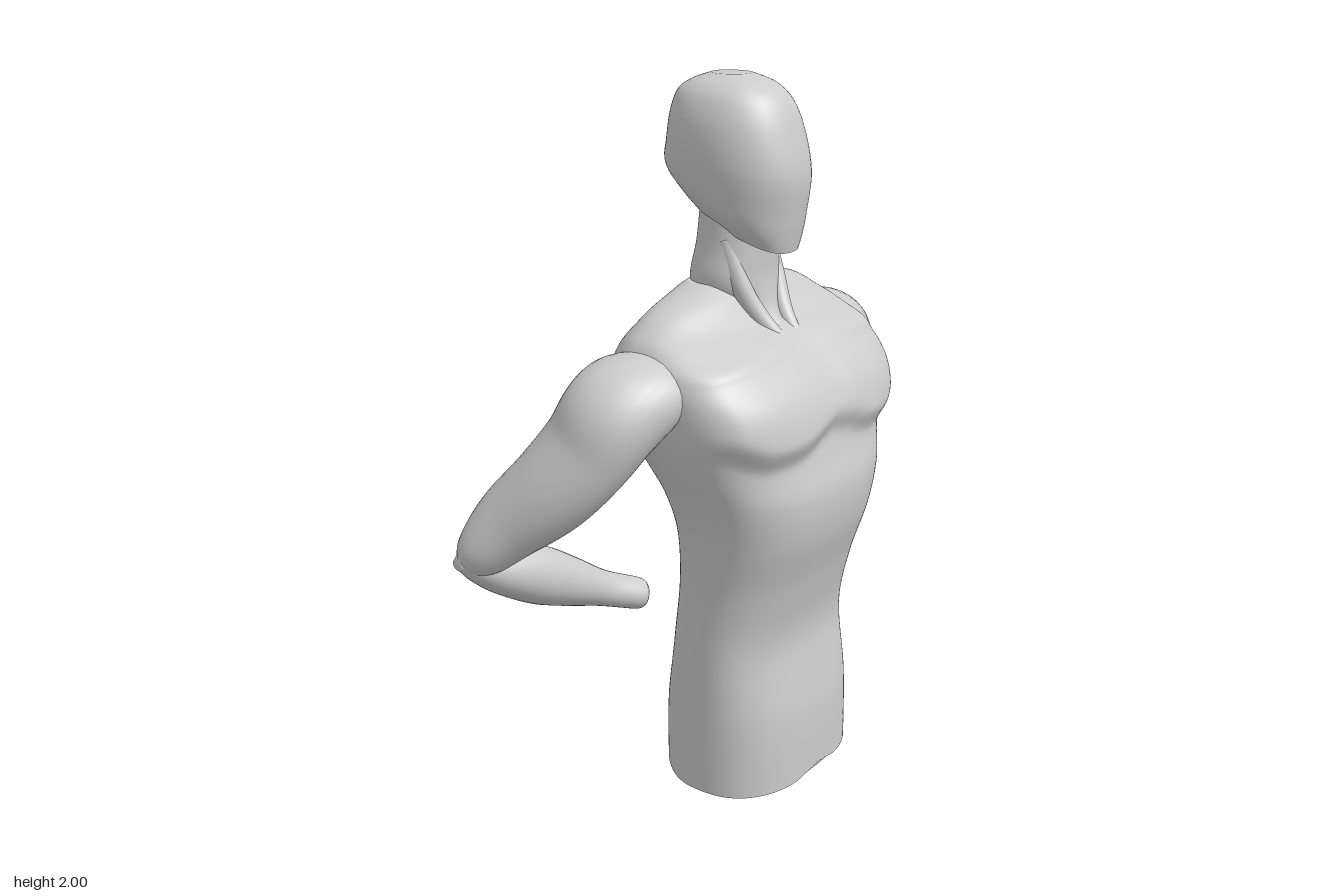
import * as THREE from 'three';
import { toCreasedNormals } from 'three/addons/utils/BufferGeometryUtils.js';

const material = new THREE.MeshStandardMaterial({ color: 0xcccccc, side: THREE.DoubleSide });
const bell = (d, r) => Math.exp(-(d * d) / (r * r));

// Surface closed around v; caps fill the first and last ring if wanted
function surface(rows, cols, point, { capStart = false, capEnd = false, flip = false } = {}) {
  const pos = [], index = [];
  const tri = (a, b, c) => (flip ? index.push(a, c, b) : index.push(a, b, c));
  for (let i = 0; i <= rows; i++)
    for (let j = 0; j < cols; j++) pos.push(...point(i / rows, (j / cols) * Math.PI * 2));
  for (let i = 0; i < rows; i++)
    for (let j = 0; j < cols; j++) {
      const k = (j + 1) % cols, a = i * cols + j, b = i * cols + k;
      tri(a, a + cols, b);
      tri(b, a + cols, b + cols);
    }
  const cap = (row, end) => {
    const c = [0, 0, 0], id = pos.length / 3;
    for (let j = 0; j < cols; j++)
      for (let k = 0; k < 3; k++) c[k] += pos[(row * cols + j) * 3 + k] / cols;
    pos.push(...c);
    for (let j = 0; j < cols; j++) {
      const a = row * cols + j, b = row * cols + ((j + 1) % cols);
      end ? tri(a, id, b) : tri(a, b, id);
    }
  };
  if (capStart) cap(0, false);
  if (capEnd) cap(rows, true);
  const g = new THREE.BufferGeometry();
  g.setAttribute('position', new THREE.Float32BufferAttribute(pos, 3));
  g.setIndex(index);
  g.computeVertexNormals();
  return g;
}

// Smooth interpolation through rows of numbers
function sample(rows, u) {
  const f = u * (rows.length - 1), i = Math.min(Math.floor(f), rows.length - 2), t = f - i;
  const at = (k) => rows[Math.max(0, Math.min(rows.length - 1, k))];
  return rows[0].map((_, k) => {
    const [a, b, c, d] = [at(i - 1)[k], at(i)[k], at(i + 1)[k], at(i + 2)[k]];
    return b + 0.5 * t * (c - a + t * (2 * a - 5 * b + 4 * c - d + t * (3 * (b - c) + d - a)));
  });
}

// Rings: [y at front, y at back, half width, front z, back z, squareness]
function loft(rings, rows, cols, options, shape = (x, y, z) => [x, y, z]) {
  return surface(rows, cols, (u, v) => {
    const [yF, yB, w, zF, zB, n] = sample(rings, u);
    const c = Math.cos(v), s = Math.sin(v);
    const q = (t) => Math.sign(t) * Math.abs(t) ** (2 / n);
    const x = w * q(c), k = q(s);
    return shape(x, yF + ((yB - yF) * (1 - k)) / 2, (zF + zB) / 2 + ((zF - zB) / 2) * k, s, u);
  }, options);
}

// Limb sections: [x, y, z, radius along ref, radius across]
function limb(sections, ref, side) {
  const centre = (u) => new THREE.Vector3(...sample(sections, u).slice(0, 3));
  return surface(48, 32, (u, v) => {
    const [, , , ra, rb] = sample(sections, u);
    const T = centre(Math.min(1, u + 0.02)).sub(centre(Math.max(0, u - 0.02))).normalize();
    const N = ref.clone().addScaledVector(T, -ref.dot(T)).normalize();
    const B = N.clone().cross(T);
    const p = centre(u).addScaledVector(N, ra * Math.cos(v)).addScaledVector(B, rb * Math.sin(v));
    return [p.x * side, p.y, p.z];
  }, { capStart: true, capEnd: true, flip: side < 0 });
}

// Chest, shoulder blades and spine modelled onto the plain torso
function muscles(x, y, z, s, u) {
  const ax = Math.abs(x);
  if (s > 0) {
    const front = Math.min(1, s * 1.6);
    const edge = 1.05 + 0.05 * bell(ax, 0.1) + 0.05 * THREE.MathUtils.smoothstep(ax, 0.27, 0.42);
    const pec = THREE.MathUtils.smoothstep(y, edge - 0.045, edge + 0.04) * (1 - THREE.MathUtils.smoothstep(y, 1.1, 1.3));
    z += front * (0.04 * pec - 0.012 * bell(ax, 0.035) * bell(y - 1.2, 0.1));
    z += front * 0.014 * bell(y - 1.31 + 0.1 * (ax - 0.1), 0.022) * THREE.MathUtils.smoothstep(ax, 0.03, 0.1);
  } else {
    const back = Math.min(1, -s * 1.6);
    z += back * 0.025 * bell(ax, 0.05) * (1 - THREE.MathUtils.smoothstep(y, 1.2, 1.4));
    z -= back * 0.008 * bell(ax - 0.1, 0.05);
    z -= back * 0.025 * bell(ax - 0.31, 0.1) * bell(y - 1.21, 0.09);
    z += back * 0.02 * bell(ax - 0.2, 0.05) * bell(y - 1.27, 0.08);
    // Cut edge rises toward the back
    y += 0.075 * Math.max(0, 1 - u / 0.12) * s * s;
  }
  // Slightly uneven cut at the bottom
  if (u === 0 && s > 0) y += 0.025 * bell(x, 0.07);
  return [x, y, z];
}

export function createModel() {
  const model = new THREE.Group();
  model.name = 'maleBust';
  const add = (name, geometry, parent = model) => {
    const mesh = new THREE.Mesh(geometry, material);
    mesh.name = name;
    parent.add(mesh);
  };

  const level = (rows) => rows.map(([y, ...rest]) => [y, y, ...rest]);

  // Torso, open at the bottom
  add('torso', loft(level([
    [0, 0.3, 0.31, -0.12, 2.5],
    [0.22, 0.3, 0.305, -0.115, 2.5],
    [0.44, 0.3, 0.275, -0.08, 2.5],
    [0.62, 0.303, 0.31, -0.06, 2.5],
    [0.78, 0.32, 0.36, -0.06, 2.6],
    [0.9, 0.35, 0.372, -0.085, 2.7],
    [1.0, 0.39, 0.35, -0.12, 2.8],
    [1.1, 0.425, 0.328, -0.15, 3.1],
    [1.2, 0.435, 0.31, -0.17, 3.3],
    [1.27, 0.43, 0.265, -0.172, 3.2],
    [1.32, 0.41, 0.2, -0.165, 2.8],
    [1.36, 0.375, 0.135, -0.145, 2.4],
    [1.41, 0.29, 0.095, -0.12, 2.1],
    [1.45, 0.14, 0.06, -0.09, 2],
  ]), 130, 96, { capEnd: true }, muscles));

  // Neck, running down to the collar
  add('neck', loft(level([
    [1.28, 0.035, 0.23, 0, 2],
    [1.36, 0.08, 0.15, -0.1, 2],
    [1.45, 0.13, 0.122, -0.105, 2.2],
    [1.56, 0.118, 0.122, -0.085, 2.2],
    [1.7, 0.11, 0.12, -0.07, 2.2],
  ]), 32, 40, { capStart: true, capEnd: true }));

  // Faceless head with a tilted jaw line
  add('head', toCreasedNormals(loft([
    [1.54, 1.65, 0.1, 0.195, -0.085, 2.5],
    [1.58, 1.705, 0.13, 0.203, -0.135, 2.4],
    [1.63, 1.77, 0.15, 0.212, -0.188, 2.3],
    [1.74, 1.83, 0.162, 0.225, -0.182, 2.2],
    [1.85, 1.9, 0.157, 0.202, -0.168, 2.2],
    [1.93, 1.955, 0.134, 0.168, -0.148, 2.2],
    [1.975, 1.982, 0.1, 0.12, -0.11, 2.2],
    [2.0, 2.0, 0.05, 0.055, -0.06, 2.2],
  ], 56, 48, { capStart: true, capEnd: true }), 0.7));

  for (const side of [1, -1]) {
    // Cords from behind the jaw to the pit of the neck
    add(side > 0 ? 'leftNeckCord' : 'rightNeckCord', limb([
      [0.095, 1.57, 0.04, 0.02, 0.03],
      [0.082, 1.45, 0.085, 0.026, 0.03],
      [0.055, 1.36, 0.135, 0.025, 0.026],
      [0.025, 1.28, 0.215, 0.014, 0.016],
    ], new THREE.Vector3(1, 0, 0), side));

    // Arms bent back with the wrists behind the waist
    const arm = new THREE.Group();
    arm.name = side > 0 ? 'leftArm' : 'rightArm';
    add('upperArm', limb([
      [0.3, 1.225, -0.01, 0.08, 0.13],
      [0.42, 1.22, -0.005, 0.105, 0.16],
      [0.51, 1.175, -0.015, 0.122, 0.145],
      [0.56, 1.085, -0.06, 0.106, 0.138],
      [0.61, 0.985, -0.135, 0.103, 0.128],
      [0.665, 0.885, -0.235, 0.088, 0.108],
      [0.712, 0.805, -0.295, 0.073, 0.08],
      [0.732, 0.765, -0.32, 0.052, 0.052],
      [0.738, 0.745, -0.33, 0.02, 0.02],
    ], new THREE.Vector3(1, 0.6, 0), side), arm);
    add('forearm', limb([
      [0.778, 0.772, -0.335, 0.015, 0.02],
      [0.74, 0.765, -0.325, 0.04, 0.048],
      [0.65, 0.72, -0.305, 0.066, 0.072],
      [0.53, 0.665, -0.29, 0.082, 0.083],
      [0.42, 0.608, -0.277, 0.072, 0.08],
      [0.3, 0.547, -0.25, 0.052, 0.06],
      [0.2, 0.505, -0.205, 0.046, 0.052],
      [0.18, 0.497, -0.195, 0.038, 0.044],
    ], new THREE.Vector3(0, 1, 0), side), arm);
    model.add(arm);
  }
  return model;
}
